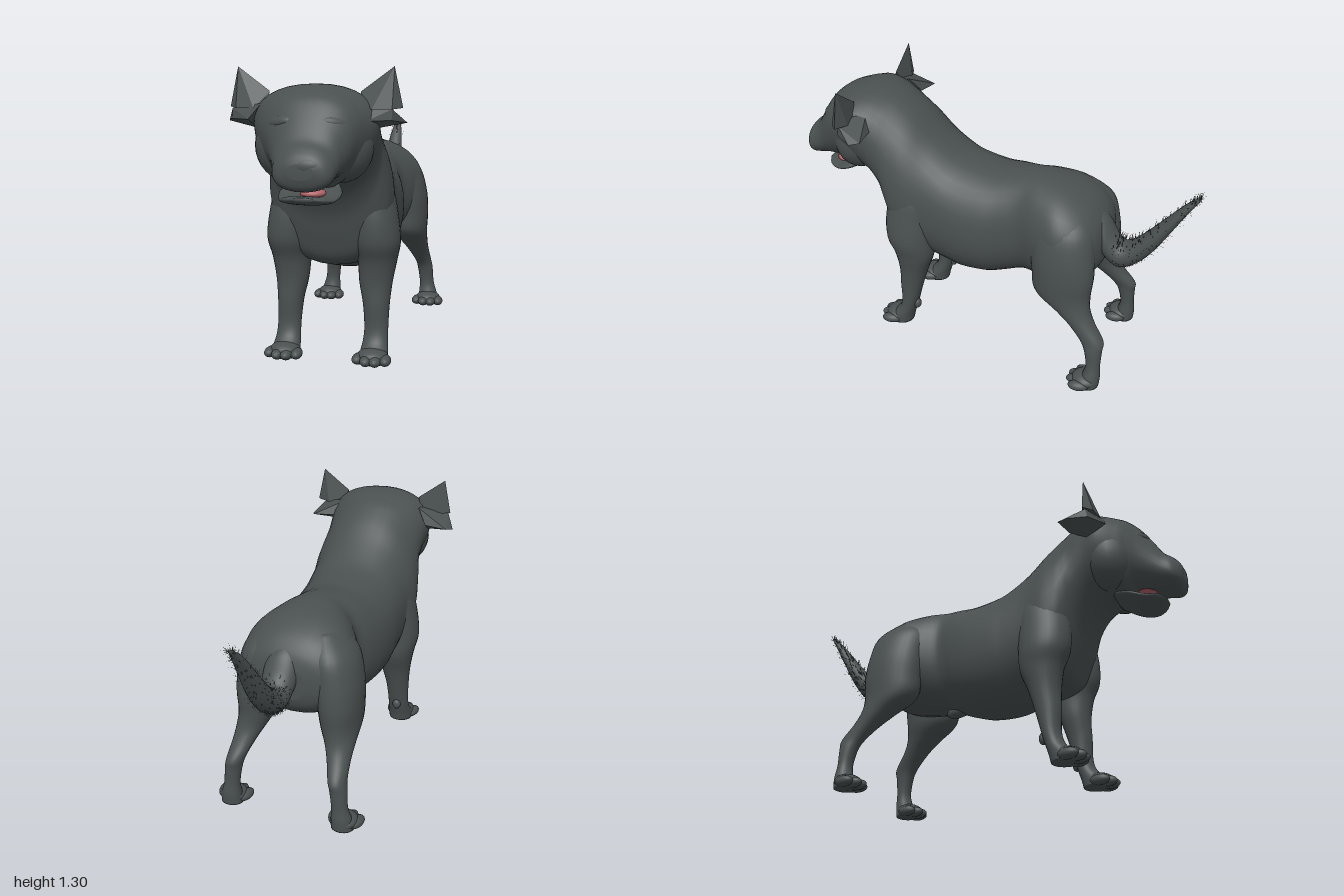
import * as THREE from 'three';
import { ConvexGeometry } from 'three/addons/geometries/ConvexGeometry.js';

const coat = new THREE.MeshStandardMaterial({ color: 0x4a5050 });
coat.name = 'charcoal coat';
const pink = new THREE.MeshStandardMaterial({ color: 0xb2666a });
pink.name = 'pink mouth';
const hairCoat = new THREE.MeshStandardMaterial({ color: 0x4a5050, side: THREE.DoubleSide });
hairCoat.name = 'charcoal hair';

// Smoothly interpolates rows of section values
function smoothRows(rows, steps) {
  const out = [];
  const at = i => rows[Math.max(0, Math.min(rows.length - 1, i))];
  for (let i = 0; i < rows.length - 1; i++) {
    for (let k = 0; k < steps; k++) {
      const t = k / steps;
      out.push(rows[i].map((p1, c) => {
        const p0 = at(i - 1)[c], p2 = at(i + 1)[c], p3 = at(i + 2)[c];
        return 0.5 * (2 * p1 + (p2 - p0) * t + (2 * p0 - 5 * p1 + 4 * p2 - p3) * t * t
          + (3 * p1 - p0 - 3 * p2 + p3) * t * t * t);
      }));
    }
  }
  out.push(rows[rows.length - 1]);
  return out;
}

// Closed skin through rings; place(row, c, s) gives a ring point
function loft(rows, place, power = 2, sides = 36) {
  const rings = smoothRows(rows, 5), pos = [], idx = [];
  const curve = v => Math.sign(v) * Math.abs(v) ** (2 / power);
  for (const r of rings) {
    for (let i = 0; i < sides; i++) {
      const a = i / sides * Math.PI * 2;
      pos.push(...place(r, curve(Math.cos(a)), curve(Math.sin(a))));
    }
  }
  const n = rings.length, first = n * sides, last = first + 1;
  pos.push(...place(rings[0], 0, 0), ...place(rings[n - 1], 0, 0));
  for (let i = 0; i < sides; i++) {
    const k = (i + 1) % sides, e = (n - 1) * sides;
    for (let j = 0; j < n - 1; j++) {
      const a = j * sides + i, b = j * sides + k;
      idx.push(a, b, b + sides, a, b + sides, a + sides);
    }
    idx.push(first, k, i, last, e + i, e + k);
  }
  const g = new THREE.BufferGeometry();
  g.setAttribute('position', new THREE.Float32BufferAttribute(pos, 3));
  g.setIndex(idx);
  g.computeVertexNormals();
  return g;
}

// Rows along +z: [z, centre x, top, bottom, half width, optional widening towards the top]
const loftZ = (rows, power) => loft(rows.map(r => [...r, 0].slice(0, 6)),
  ([z, x, top, bot, w, egg], c, s) =>
    [x + w * c * (1 + egg * s), (top + bot) / 2 + (top - bot) / 2 * s, z], power);
// Rows going down: [y, centre x, centre z, half width, half depth]
const loftY = (rows, side) => loft(rows, ([y, x, z, rx, rz], c, s) =>
  [side * x + rx * c, y, z + rz * s], 2.1, 28);

export function createModel() {
  const model = new THREE.Group();
  model.name = 'dog';
  const dog = new THREE.Group();
  dog.name = 'dogParts';
  dog.position.x = 0.02;
  model.add(dog);

  const add = (name, geometry, material = coat) => {
    const m = new THREE.Mesh(geometry, material);
    m.name = name;
    dog.add(m);
    return m;
  };
  const blob = (name, p, r, material, rot = [0, 0, 0]) => {
    const m = add(name, new THREE.SphereGeometry(1, 24, 16), material);
    m.position.set(...p);
    m.scale.set(...r);
    m.rotation.set(...rot);
  };

  // Trunk, neck, skull and muzzle in one skin
  add('bodyAndHead', loftZ([
    [-0.565, 0.02, 0.74, 0.58, 0.1], [-0.54, 0.015, 0.805, 0.53, 0.19], [-0.48, 0.01, 0.872, 0.48, 0.25],
    [-0.38, 0.01, 0.925, 0.45, 0.27], [-0.27, 0.01, 0.945, 0.43, 0.235], [-0.18, 0.01, 0.945, 0.42, 0.2],
    [-0.09, 0, 0.932, 0.385, 0.225], [0, 0, 0.922, 0.36, 0.25], [0.12, 0, 0.938, 0.355, 0.262],
    [0.2, 0, 0.968, 0.37, 0.262], [0.3, 0, 1.04, 0.4, 0.265, -0.05], [0.39, 0, 1.125, 0.42, 0.278, -0.08],
    [0.455, 0, 1.175, 0.46, 0.272, -0.05], [0.495, 0, 1.198, 0.56, 0.26], [0.53, 0, 1.21, 0.67, 0.252, 0.06],
    [0.59, 0, 1.227, 0.765, 0.255, 0.12], [0.67, 0, 1.23, 0.812, 0.258, 0.18], [0.75, 0.005, 1.212, 0.8, 0.222, 0.16],
    [0.79, 0.012, 1.195, 0.828, 0.2, 0.1], [0.83, 0.02, 1.162, 0.832, 0.175, 0.03], [0.88, 0.025, 1.09, 0.832, 0.145, -0.06],
    [0.92, 0.03, 1.025, 0.828, 0.13, -0.1], [0.96, 0.033, 0.992, 0.825, 0.118, -0.12],
    [0.985, 0.035, 0.965, 0.84, 0.092, -0.1], [0.998, 0.035, 0.935, 0.875, 0.05],
  ], 2.2));

  // Lower jaw with tongue and palate
  add('lowerJaw', loftZ([
    [0.68, 0.01, 0.85, 0.815, 0.09], [0.76, 0.01, 0.825, 0.775, 0.13], [0.83, 0.012, 0.797, 0.757, 0.118],
    [0.88, 0.015, 0.797, 0.765, 0.09], [0.91, 0.02, 0.795, 0.78, 0.04],
  ], 2.2));
  blob('tongue', [0.035, 0.803, 0.82], [0.052, 0.022, 0.052], pink);
  blob('mouthRoof', [0.02, 0.832, 0.82], [0.075, 0.008, 0.05], pink);

  // Nose and belly details
  blob('nose', [0.05, 0.925, 0.972], [0.07, 0.036, 0.028]);
  blob('sheath', [0.01, 0.425, -0.15], [0.035, 0.035, 0.075], coat, [-0.25, 0, 0]);

  for (const s of [1, -1]) {
    const side = s > 0 ? 'left' : 'right';

    // Face: cheeks, brows and closed eyelids
    blob(side + 'Cheek', [s * 0.115, 0.98, 0.68], [0.135, 0.15, 0.125]);
    blob(side + 'Brow', [0.018 + s * 0.11, 1.08, 0.825], [0.07, 0.03, 0.035], coat, [0, s * 0.5, -s * 0.15]);
    blob(side + 'Eyelid', [0.018 + s * 0.12, 1.04, 0.84], [0.042, 0.018, 0.025], coat, [0, s * 0.5, s * 0.1]);

    // Ear: upright pointed part over a folded flap
    const hull = (pts, shift) => new ConvexGeometry(pts.map(([x, y, z]) => new THREE.Vector3(s * x + shift, y, z)));
    add(side + 'EarTip', hull([
      [0.332, 1.3, 0.65], [0.368, 1.135, 0.65], [0.33, 1.13, 0.69], [0.25, 1.13, 0.70], [0.2, 1.13, 0.675],
      [0.195, 1.2, 0.65], [0.22, 1.13, 0.635], [0.3, 1.13, 0.625],
    ], -0.005));
    add(side + 'EarFlap', hull([
      [0.2, 1.15, 0.7], [0.25, 1.085, 0.725], [0.34, 1.13, 0.66], [0.34, 1.085, 0.67],
      [0.388, 1.072, 0.58], [0.365, 1.08, 0.535], [0.25, 1.085, 0.55], [0.2, 1.16, 0.59], [0.24, 1.045, 0.63],
    ], -0.02));

    // Legs
    add(side + 'FrontLeg', loftY([
      [0.86, 0.16, 0.36, 0.04, 0.06], [0.78, 0.178, 0.365, 0.085, 0.11], [0.66, 0.192, 0.38, 0.1, 0.122],
      [0.54, 0.2, 0.38, 0.105, 0.12], [0.45, 0.2, 0.365, 0.088, 0.1], [0.35, 0.195, 0.375, 0.075, 0.073],
      [0.25, 0.2, 0.39, 0.06, 0.058], [0.15, 0.203, 0.402, 0.054, 0.043], [0.09, 0.203, 0.42, 0.056, 0.044],
      [0.045, 0.203, 0.45, 0.062, 0.06], [0.005, 0.203, 0.465, 0.062, 0.066],
    ], s));
    add(side + 'HindLeg', loftY([
      [0.87, 0.12, -0.37, 0.05, 0.08], [0.78, 0.158, -0.39, 0.1, 0.14], [0.66, 0.185, -0.405, 0.108, 0.15],
      [0.55, 0.2, -0.415, 0.1, 0.148], [0.45, 0.205, -0.42, 0.09, 0.135], [0.38, 0.22, -0.475, 0.07, 0.088],
      [0.32, 0.235, -0.53, 0.054, 0.065], [0.25, 0.252, -0.59, 0.042, 0.058], [0.2, 0.262, -0.605, 0.04, 0.043],
      [0.12, 0.27, -0.612, 0.038, 0.034], [0.06, 0.277, -0.608, 0.048, 0.043], [0.005, 0.28, -0.595, 0.055, 0.053],
    ], s));
    blob(side + 'WristPad', [s * 0.207, 0.125, 0.365], [0.022, 0.028, 0.02]);

    // Four toes on each paw
    for (const [paw, px, pz, w] of [['Front', 0.203, 0.515, 0.038], ['Hind', 0.282, -0.545, 0.036]]) {
      for (let i = 0; i < 4; i++) {
        const u = i - 1.5, middle = Math.abs(u) < 1;
        blob(`${side}${paw}Toe${i + 1}`, [s * px + u * w, 0.025, pz - (middle ? 0 : 0.022)],
          [0.029, 0.025, 0.05], coat, [0, u * 0.15, 0]);
      }
      blob(`${side}${paw}Foot`, [s * px, 0.036, pz - 0.038], [w * 1.8, 0.035, 0.065]);
    }
  }

  // Tail: dips from the rump and sweeps up to a point
  const tailRows = [
    [-0.965, 0.035, 1.0, 0.985, 0.012], [-0.9, 0.033, 0.945, 0.875, 0.032], [-0.79, 0.033, 0.815, 0.68, 0.05],
    [-0.71, 0.033, 0.725, 0.585, 0.06], [-0.65, 0.033, 0.685, 0.555, 0.068], [-0.61, 0.032, 0.715, 0.56, 0.072],
    [-0.56, 0.03, 0.79, 0.6, 0.08], [-0.5, 0.02, 0.835, 0.66, 0.09],
  ];
  add('tail', loftZ(tailRows, 2));

  // Short bristles scattered over the tail
  let seed = 7;
  const rand = () => (seed = (seed * 16807) % 2147483647) / 2147483647;
  const rings = smoothRows(tailRows.slice(0, 6), 16), hair = [];
  for (let i = 0; i < 420; i++) {
    const [z, x, top, bot, w] = rings[Math.floor(rand() * rings.length)];
    const a = rand() * Math.PI * 2, c = Math.cos(a), s = Math.sin(a), len = 0.012 + rand() * 0.018;
    const px = x + w * c, py = (top + bot) / 2 + (top - bot) / 2 * s;
    hair.push(px - 0.0015 * s, py, z - 0.0015, px + 0.0015 * s, py, z + 0.0015,
      px + len * c, py + len * (s * 0.7 + 0.5), z - len * 0.5 + len * s * 0.5);
  }
  const bristles = new THREE.BufferGeometry();
  bristles.setAttribute('position', new THREE.Float32BufferAttribute(hair, 3));
  bristles.computeVertexNormals();
  add('tailBristles', bristles, hairCoat);

  return model;
}
